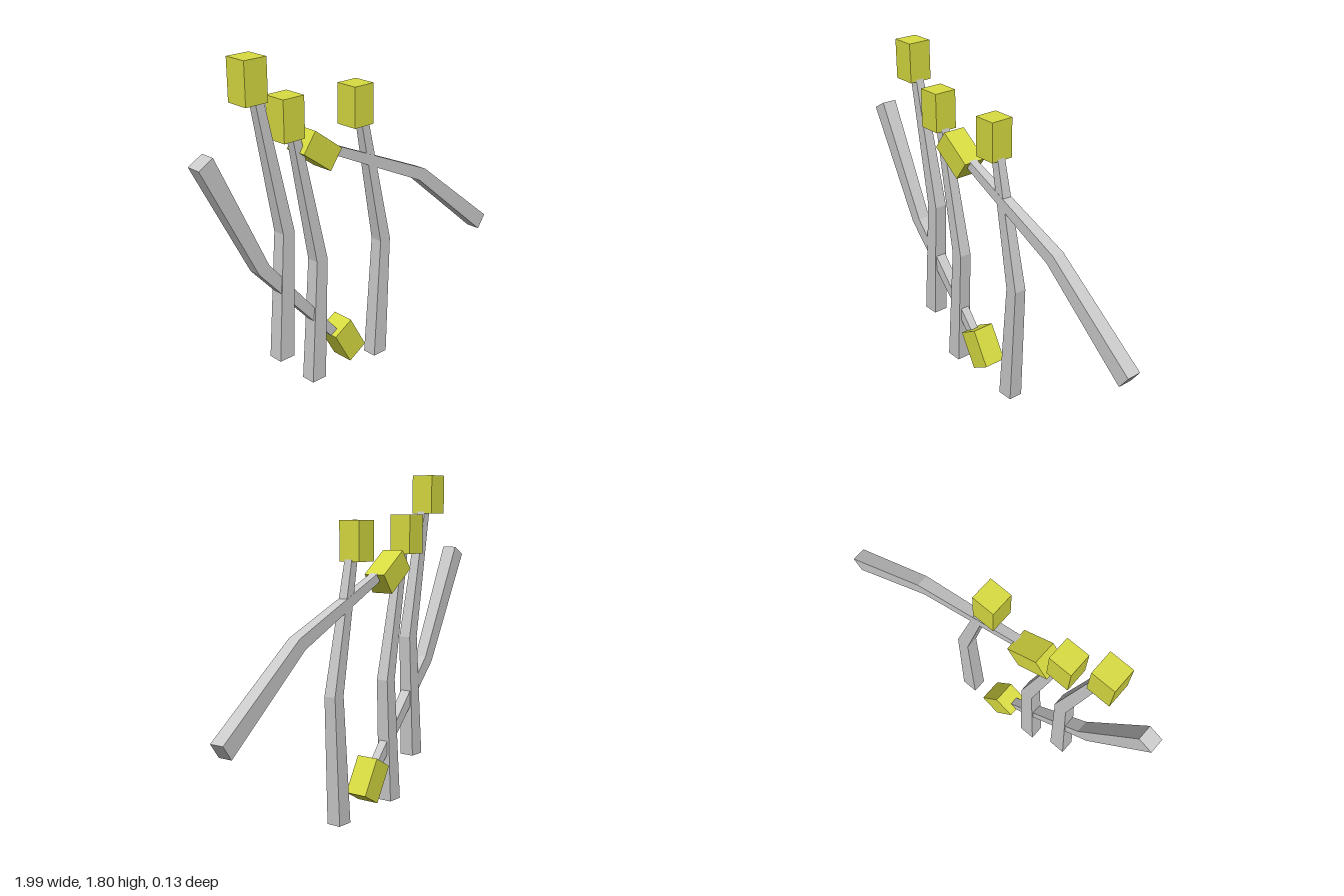
import * as THREE from 'three';

const wood = new THREE.MeshStandardMaterial({ color: 0xcccccc, flatShading: true });
const yellow = new THREE.MeshStandardMaterial({ color: 0xd8dc40, flatShading: true });

// Cross-sections of the bent stick, foot to tip: centre x, y, half width, half depth
const sections = [
  [0, 0, 0.045, 0.04],
  [0.038, 0.675, 0.035, 0.034],
  [-0.105, 1.365, 0.024, 0.023],
];

// Tapered square stick, bent at its middle ring
function stickGeometry() {
  const geometry = new THREE.BoxGeometry(2, 2, 2, 1, 2, 1);
  const p = geometry.attributes.position;
  for (let i = 0; i < p.count; i++) {
    const [cx, y, w, d] = sections[Math.round(p.getY(i)) + 1];
    p.setXYZ(i, cx + p.getX(i) * w, y, 0.007 + p.getZ(i) * d);
  }
  geometry.computeVertexNormals();
  return geometry;
}

// Foot position x, y and tilt in degrees of each match
const placements = [
  [-0.54, 0.24, 0],
  [-0.328, 0.025, 0],
  [0.123, 0, 0],
  [0.966, 0.545, 54],
  [-0.961, 1.376, -150.4],
];

export function createModel() {
  const model = new THREE.Group();
  model.name = 'bentMatches';
  const stickGeo = stickGeometry();
  const headGeo = new THREE.BoxGeometry(0.126, 0.21, 0.126);

  placements.forEach(([x, y, tilt], i) => {
    const match = new THREE.Group();
    match.name = `match${i + 1}`;

    const stick = new THREE.Mesh(stickGeo, wood);
    stick.name = 'stick';

    const head = new THREE.Mesh(headGeo, yellow);
    head.name = 'head';
    head.position.set(-0.143, 1.454, 0.001);

    match.add(stick, head);
    match.position.set(x, y, 0);
    match.rotation.z = THREE.MathUtils.degToRad(tilt);
    model.add(match);
  });
  return model;
}
